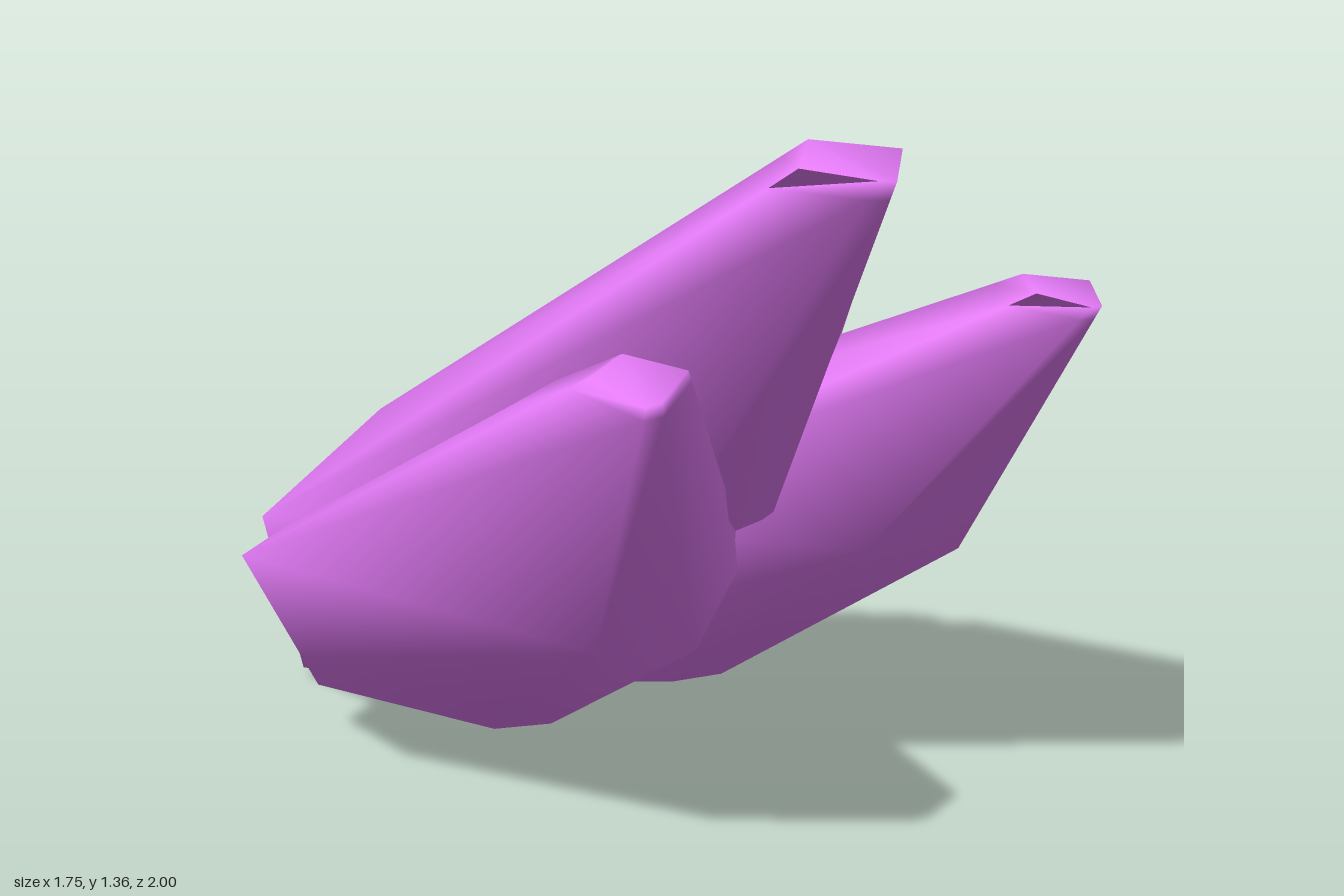
import * as THREE from 'three';

const material = new THREE.MeshStandardMaterial({ color: 0xe87dfc });
const SIDES = 5;

// Corners part of the way from one ring to the next
const between = (a, b, t) => a.map((p, i) => p.map((v, k) => v + (b[i][k] - v) * t));

// Crystal with a square section and one bevelled edge, lofted through base, shoulder and tip.
// Corner order: back right, front right, bevel start, bevel end, back left (model's own sides).
function crystal(name, base, shoulder, tip) {
  // The base ring is repeated so that the underside keeps a sharp rim
  const rings = [base, between(base, shoulder, 0.22), shoulder, between(shoulder, tip, 0.95), tip, base];
  const top = 4 * SIDES, bottom = 5 * SIDES;
  const index = [];
  for (let r = 0; r < 4; r++) {
    for (let i = 0; i < SIDES; i++) {
      const a = r * SIDES + i, b = r * SIDES + (i + 1) % SIDES;
      index.push(a, b, b + SIDES, a, b + SIDES, a + SIDES);
    }
  }
  // End caps
  for (let i = 1; i < SIDES - 1; i++) {
    index.push(top, top + i, top + i + 1, bottom, bottom + i + 1, bottom + i);
  }
  const geometry = new THREE.BufferGeometry();
  geometry.setAttribute('position', new THREE.Float32BufferAttribute(rings.flat(2), 3));
  geometry.setIndex(index);
  geometry.computeVertexNormals();
  const mesh = new THREE.Mesh(geometry, material);
  mesh.name = name;
  return mesh;
}

export function createModel() {
  const group = new THREE.Group();
  group.name = 'crystalCluster';

  // Tall crystal in the middle
  group.add(crystal('mainCrystal',
    [[-0.88, 0.02, -1], [-0.88, 0.02, -0.41], [-0.42, 0.02, -0.41], [-0.31, 0.02, -0.52], [-0.31, 0.02, -1]],
    [[-0.76, 0.56, -0.7], [-0.76, 0.56, 0.3], [0.06, 0.56, 0.3], [0.24, 0.56, 0.12], [0.24, 0.56, -0.7]],
    [[0.34, 1.36, 0.53], [0.34, 1.33, 0.7], [0.48, 1.31, 0.695], [0.51, 1.305, 0.66], [0.51, 1.345, 0.52]]));

  // Shorter crystal leaning to the front
  group.add(crystal('frontCrystal',
    [[-0.65, 0.06, -0.5], [-0.75, 0.1, -0.05], [-0.35, 0.05, 0.04], [-0.25, 0.03, -0.07], [-0.2, 0.02, -0.38]],
    [[-0.58, 0.58, -0.4], [-0.76, 0.52, 0.45], [-0.03, 0.42, 0.67], [0.13, 0.37, 0.46], [0.16, 0.41, -0.1]],
    [[0.05, 1.02, 0.84], [0.01, 1.0, 0.96], [0.115, 0.96, 1.0], [0.14, 0.965, 0.98], [0.17, 1.0, 0.87]]));

  // Shorter crystal leaning to the side
  group.add(crystal('sideCrystal',
    [[-0.5, 0.02, -0.8], [-0.44, 0.03, -0.35], [-0.04, 0.025, -0.41], [0.06, 0.02, -0.5], [-0.02, 0, -0.88]],
    [[-0.45, 0.5, -0.64], [-0.3, 0.52, 0.12], [0.42, 0.47, 0.06], [0.6, 0.44, -0.1], [0.44, 0.4, -0.77]],
    [[0.72, 1.045, 0.07], [0.75, 1.03, 0.2], [0.855, 1.0, 0.17], [0.875, 1.0, 0.15], [0.85, 1.03, 0.04]]));

  return group;
}
